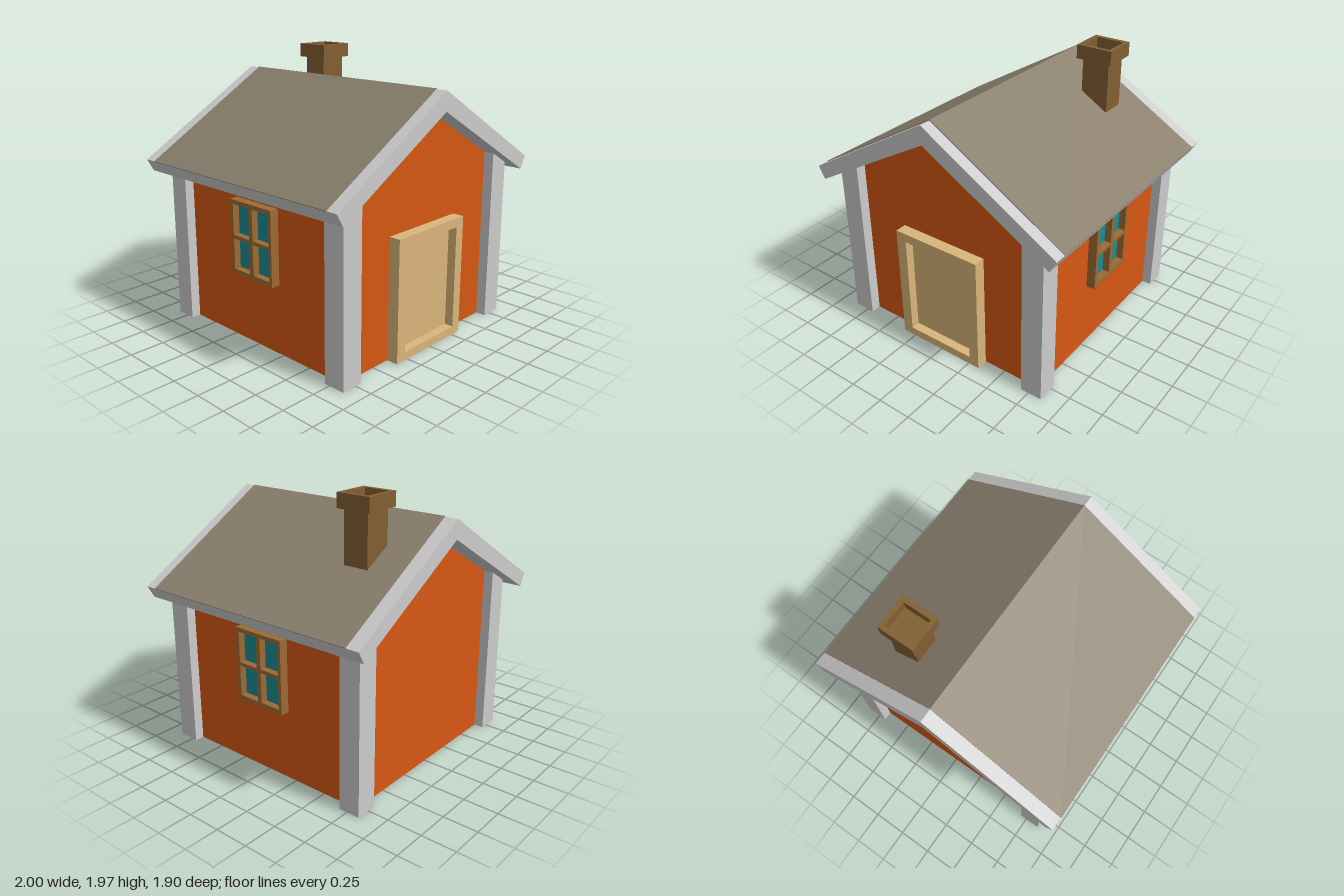
import * as THREE from 'three';

const mat = (color) => new THREE.MeshStandardMaterial({ color, flatShading: true });
const trim = mat(0xcccccc);
const wall = mat(0xd65714);
const roofing = mat(0x8a806d);
const doorWood = mat(0xd9b57a);
const frameWood = mat(0x9c6a34);
const glass = mat(0x1a8c94);
const brick = mat(0x825f32);

const polygon = (points) => new THREE.Shape(points.map(([x, y]) => new THREE.Vector2(x, y)));
const rect = (x0, x1, y0, y1) => [[x0, y0], [x1, y0], [x1, y1], [x0, y1]];

// Prism with an outline in x/y, running from z0 to z1
function prism(name, material, points, z0, z1, holes = []) {
  const shape = polygon(points);
  shape.holes = holes.map((h) => new THREE.Path(polygon(h).getPoints()));
  const geometry = new THREE.ExtrudeGeometry(shape, { depth: z1 - z0, bevelEnabled: false });
  geometry.translate(0, 0, z0);
  const mesh = new THREE.Mesh(geometry, material);
  mesh.name = name;
  return mesh;
}

// Height of the roof underside at a distance from the ridge
const underside = (x) => 1.65 - 0.57 * Math.abs(x);

// Frame with four panes, facing +z
function createWindow(name) {
  const group = new THREE.Group();
  group.name = name;
  const panes = [];
  for (const [x0, x1] of [[-0.175, -0.015], [0.02, 0.18]]) {
    for (const [y0, y1] of [[0.535, 0.755], [0.78, 1.0]]) panes.push(rect(x0, x1, y0, y1));
  }
  group.add(prism('windowFrame', frameWood, rect(-0.205, 0.205, 0.5, 1.03), 0, 0.075, panes));
  group.add(prism('windowGlass', glass, rect(-0.19, 0.19, 0.52, 1.015), 0.005, 0.025));
  return group;
}

function createDoor() {
  const group = new THREE.Group();
  group.name = 'door';
  group.add(prism('doorFrame', doorWood, rect(-0.355, 0.335, 0, 0.87), 0.78, 0.88,
    [rect(-0.275, 0.26, 0.06, 0.805)]));
  group.add(prism('doorPanel', doorWood, rect(-0.3, 0.3, 0.03, 0.83), 0.785, 0.815));
  return group;
}

function createChimney() {
  const group = new THREE.Group();
  group.name = 'chimney';
  const shaft = new THREE.Mesh(new THREE.BoxGeometry(0.205, 0.48, 0.185), brick);
  shaft.name = 'chimneyShaft';
  shaft.position.y = 1.645;
  // Open-topped cap, extruded upward
  const cap = prism('chimneyCap', brick, rect(-0.135, 0.135, -0.128, 0.128), 0, 0.1,
    [rect(-0.103, 0.103, -0.093, 0.093)]);
  cap.rotation.x = -Math.PI / 2;
  cap.position.y = 1.865;
  group.add(shaft, cap);
  group.position.set(0.388, 0, -0.523);
  return group;
}

export function createModel() {
  const house = new THREE.Group();
  house.name = 'house';

  // Gabled body
  const half = 0.785;
  const body = prism('walls', wall, [
    [-half, 0], [half, 0], [half, underside(half) + 0.02], [0, 1.67], [-half, underside(half) + 0.02],
  ], -0.775, 0.795);
  body.position.x = -0.005;
  house.add(body);

  // Corner posts, cut to the roof slope
  for (const side of [-1, 1]) {
    for (const [z0, z1] of [[0.71, 0.87], [-0.845, -0.69]]) {
      const outer = side * 0.855, inner = side * 0.695;
      const post = prism('cornerPost', trim, [
        [outer, 0], [inner, 0], [inner, underside(inner) + 0.02], [outer, underside(outer) + 0.02],
      ], z0, z1);
      post.position.x = -0.005;
      house.add(post);
    }
  }

  // Roof slab and the thin covering on top of it
  const roof = prism('roofSlab', trim, [
    [0, 1.785], [-0.995, 1.2], [-0.945, 1.111], [0, 1.65], [0.945, 1.111], [0.995, 1.2],
  ], -0.947, 0.95);
  const cover = prism('roofCovering', roofing, [
    [0, 1.79], [-0.998, 1.203], [-0.995, 1.198], [0, 1.78], [0.995, 1.198], [0.998, 1.203],
  ], -0.85, 0.865);
  roof.position.x = cover.position.x = -0.004;
  house.add(roof, cover);

  // Side windows
  for (const [name, side] of [['leftWindow', 1], ['rightWindow', -1]]) {
    const pane = createWindow(name);
    pane.position.set(side * 0.775 - 0.005, 0, 0.015);
    pane.rotation.y = (side * Math.PI) / 2;
    house.add(pane);
  }

  house.add(createDoor(), createChimney());
  return house;
}
